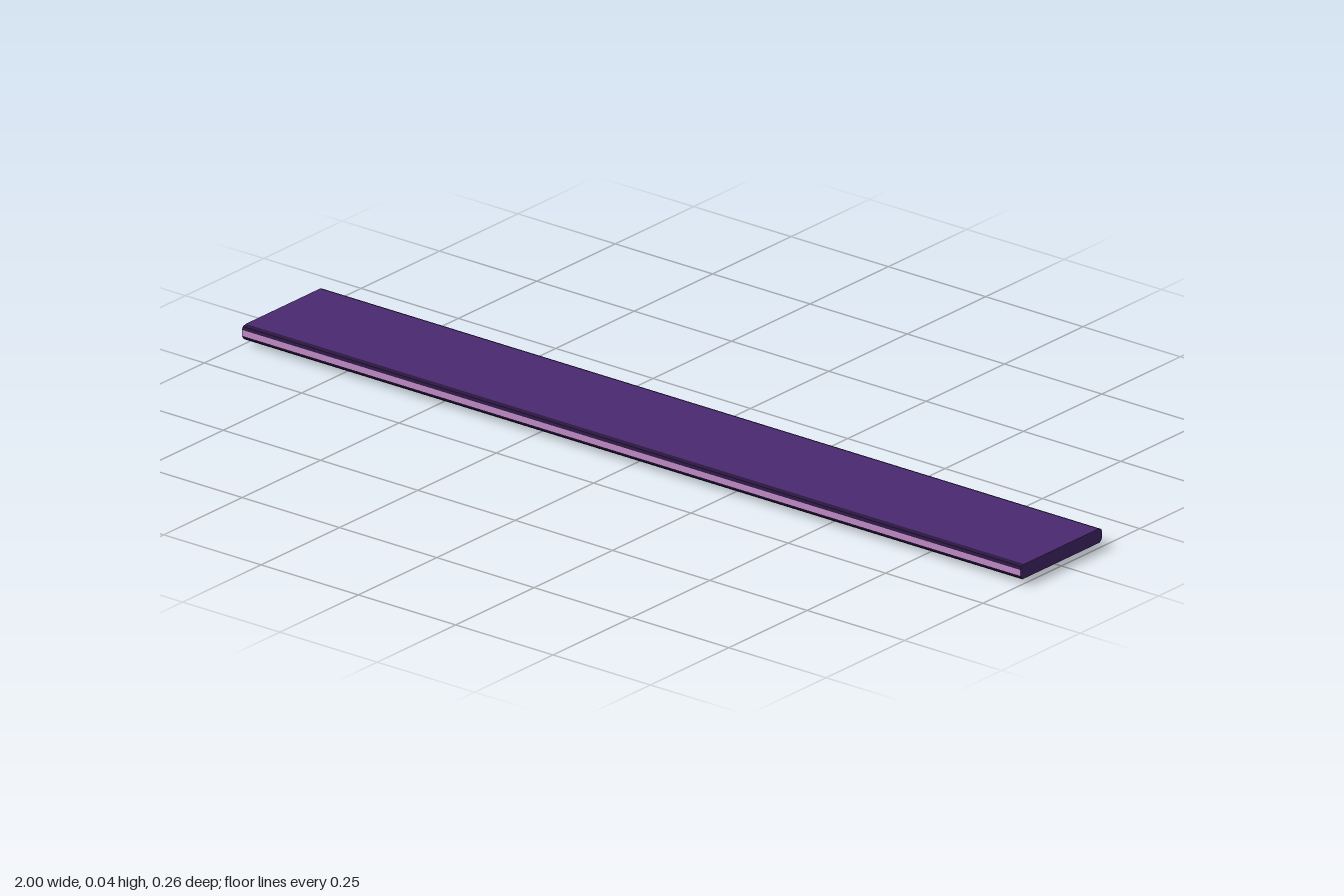
import * as THREE from 'three';

const purple = new THREE.MeshStandardMaterial({ color: 0x4b2a72 });
const dark = new THREE.MeshStandardMaterial({ color: 0x2a163f });
const pink = new THREE.MeshStandardMaterial({ color: 0xc48fcb });

// Runs a (z, y) cross-section along the full length in x, with purple ends
function beam(name, points, sideMaterial) {
  const shape = new THREE.Shape(points.map(([z, y]) => new THREE.Vector2(-z, y)));
  const geometry = new THREE.ExtrudeGeometry(shape, { depth: 2, bevelEnabled: false });
  geometry.translate(0, 0, -1).rotateY(Math.PI / 2);
  const mesh = new THREE.Mesh(geometry, [purple, sideMaterial]);
  mesh.name = name;
  return mesh;
}

// Box narrowed towards its bottom face
function taperedPanel(length, height, width, inX, inZ) {
  const geometry = new THREE.BoxGeometry(length, height, width).toNonIndexed();
  const p = geometry.attributes.position;
  for (let i = 0; i < p.count; i++) {
    if (p.getY(i) < 0) {
      p.setX(i, p.getX(i) - Math.sign(p.getX(i)) * inX);
      p.setZ(i, p.getZ(i) - Math.sign(p.getZ(i)) * inZ);
    }
  }
  geometry.computeVertexNormals();
  return geometry.translate(0, height / 2, 0);
}

export function createModel() {
  const model = new THREE.Group();
  model.name = 'platform';

  // Flat deck
  const top = 0.042, bottom = 0.011, inner = 0.118, outer = 0.13;
  model.add(beam('deck', [[-inner, bottom], [inner, bottom], [inner, top], [-inner, top]], purple));

  // Rounded dark edges with a pink stripe along both long sides
  for (const [side, s] of [['front', 1], ['back', -1]]) {
    const edge = (name, points, material) =>
      model.add(beam(side + name, points.map(([z, y]) => [z * s, y]), material));
    edge('UpperEdge', [[inner, 0.033], [outer, 0.033], [0.127, 0.039], [inner, top]], dark);
    edge('Stripe', [[inner, 0.02], [outer, 0.02], [outer, 0.033], [inner, 0.033]], pink);
    edge('LowerEdge', [[inner, bottom], [0.126, 0.013], [outer, 0.02], [inner, 0.02]], dark);
  }

  // Row of bevelled panels under the deck
  const panel = taperedPanel(0.25, bottom, 0.248, 0.03, 0.036);
  for (let i = 0; i < 8; i++) {
    const mesh = new THREE.Mesh(panel, dark);
    mesh.name = 'undersidePanel' + (i + 1);
    mesh.position.x = -0.875 + i * 0.25;
    model.add(mesh);
  }
  return model;
}
